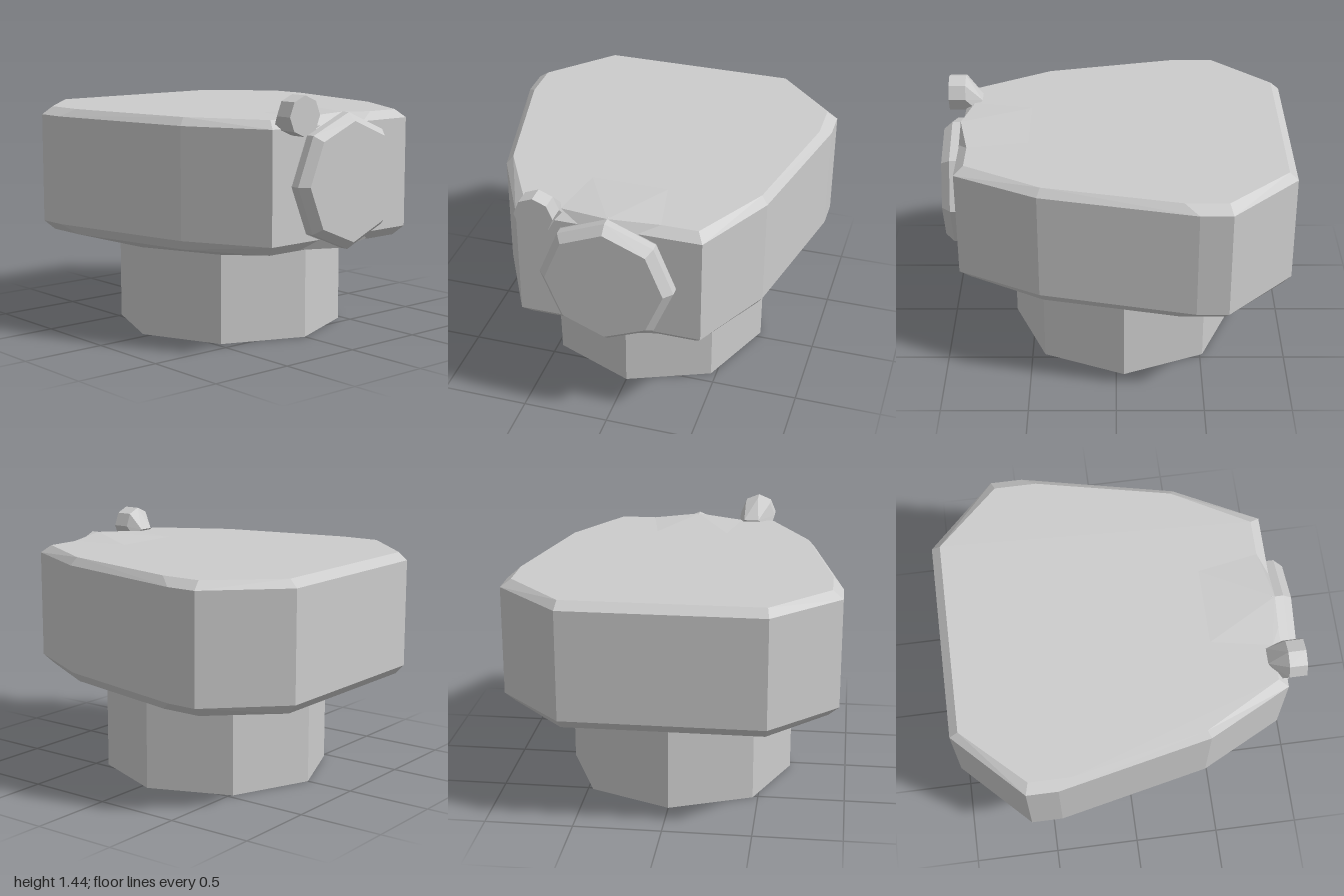
import * as THREE from 'three';
import { ConvexGeometry } from 'three/addons/geometries/ConvexGeometry.js';

const V = (x, y, z) => new THREE.Vector3(x, y, z);

// Points mirrored across x = 0
const pair = (x, y, z) => [V(x, y, z), V(-x, y, z)];

// Octagon facing +z, with corners on the axes
function octagon(cx, cy, z, r) {
  return Array.from({ length: 8 }, (_, i) => {
    const a = (i * Math.PI) / 4;
    return V(cx + r * Math.sin(a), cy + r * Math.cos(a), z);
  });
}

export function createModel() {
  const model = new THREE.Group();
  const material = new THREE.MeshStandardMaterial({ color: 0xcccccc, flatShading: true });
  const add = (name, geometry) => {
    const mesh = new THREE.Mesh(geometry, material);
    mesh.name = name;
    model.add(mesh);
    return mesh;
  };

  const neckRadius = 0.665, neckZ = -0.045, neckTop = 0.515;

  // Neck: octagonal post
  add('neck', new THREE.CylinderGeometry(neckRadius, neckRadius, neckTop, 8))
    .position.set(0, neckTop / 2, neckZ);

  // Body: tapering plan outline with bevelled rims, narrowing to the neck
  const outer = [[0.57, -1], [0.95, -0.62], [0.95, -0.44], [0.76, 0.43], [0.52, 0.9]];
  const inner = [[0.56, -0.95], [0.89, -0.6], [0.89, -0.36], [0.725, 0.41], [0.485, 0.845]];
  const body = [];
  for (const [outline, y] of [[inner, 0.575], [outer, 0.63], [outer, 1.26], [inner, 1.305]]) {
    for (const [x, z] of outline) body.push(...pair(x, y, z));
  }
  for (let i = 0; i < 8; i++) {
    const a = (i * Math.PI) / 4;
    body.push(V(neckRadius * Math.sin(a), neckTop, neckZ + neckRadius * Math.cos(a)));
  }
  add('body', new ConvexGeometry(body));

  // Fairing: blends the front dial into the top and underside of the body
  const dialY = 0.945;
  add('dialFairing', new ConvexGeometry([
    ...octagon(0, dialY, 0.902, 0.38),
    ...pair(0.28, 1.305, 0.845),
    ...pair(0.25, 1.302, 0.44),
    ...pair(0.28, 0.58, 0.845),
    V(0, 0.54, 0.74),
  ]));

  // Front dial with bevelled face
  add('dial', new ConvexGeometry([
    ...octagon(0, dialY, 0.88, 0.38),
    ...octagon(0, dialY, 0.95, 0.38),
    ...octagon(0, dialY, 1, 0.335),
  ]));

  // Small knob on the front edge, with a root tapering into the body
  const knobX = -0.38, knobY = 1.33;
  add('knob', new ConvexGeometry([
    ...octagon(knobX, knobY, 0.9, 0.11),
    ...octagon(knobX, knobY, 1, 0.11),
  ]));
  add('knobRoot', new ConvexGeometry([
    ...octagon(knobX, knobY, 0.9, 0.11),
    V(-0.39, 1.315, 0.8), V(-0.3, 1.315, 0.8),
    V(-0.27, 1.27, 0.84), V(-0.47, 1.27, 0.86),
  ]));

  return model;
}
